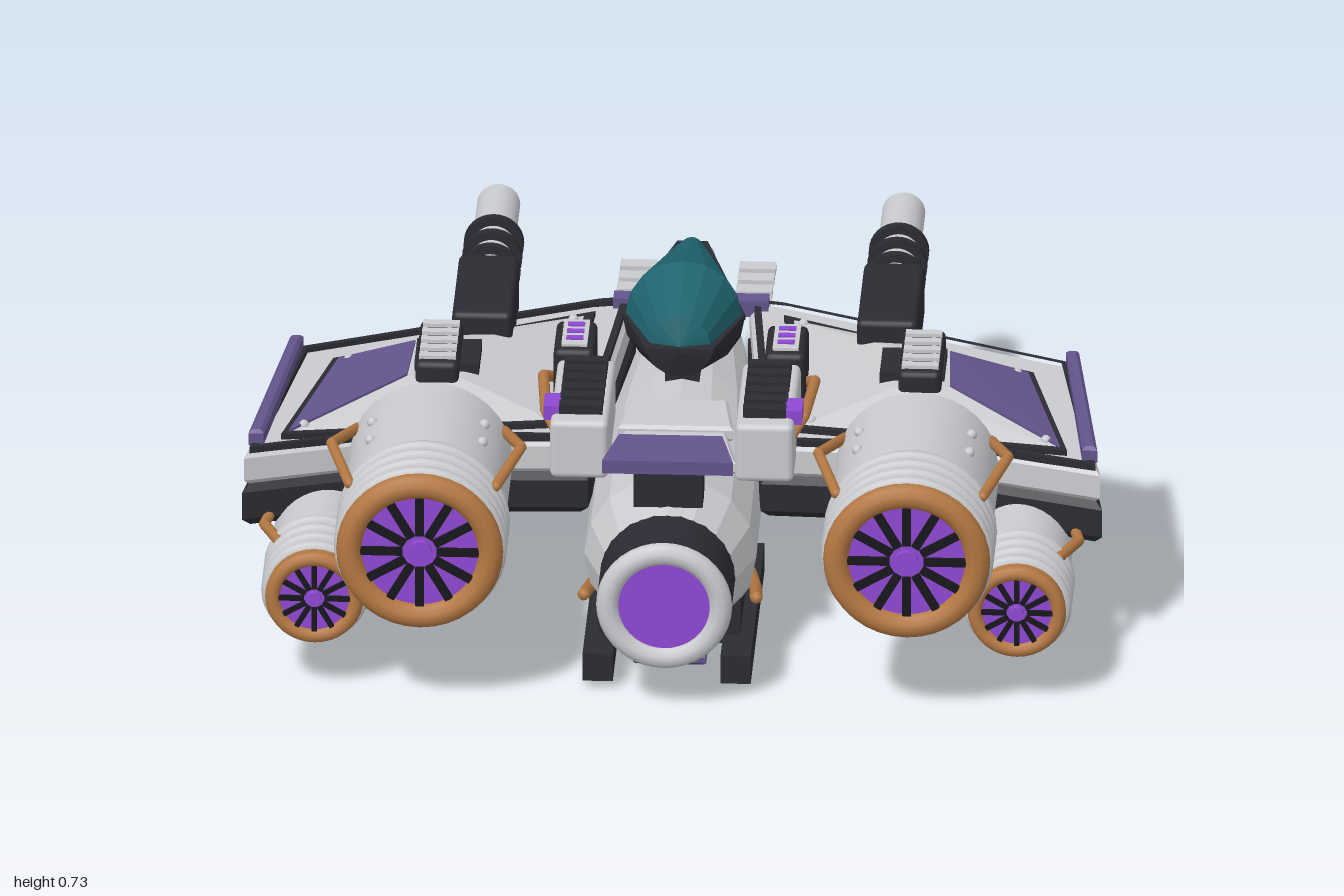
import * as THREE from 'three';
import { ConvexGeometry } from 'three/addons/geometries/ConvexGeometry.js';
import { RoundedBoxGeometry } from 'three/addons/geometries/RoundedBoxGeometry.js';

const paint = (name, color) => Object.assign(new THREE.MeshStandardMaterial({ color }), { name });
const HULL = paint('hull grey', 0xc9cbce);
const DARK = paint('dark trim', 0x2b2b33);
const PURPLE = paint('purple panel', 0x63548c);
const GLOW = paint('glowing purple', 0x8f48d2);
const COPPER = paint('copper', 0xb47843);
const TEAL = paint('teal glass', 0x1f636d);
const SLATE = paint('slate underside', 0x3a4953);
const BLACK = paint('black blades', 0x17171c);

const V = (x, y, z) => new THREE.Vector3(x, y, z);

function flat(geo) {
  const g = geo.index ? geo.toNonIndexed() : geo;
  g.computeVertexNormals();
  return g;
}

// Lathe round the z axis from [z, radius] pairs
function spindle(profile, segments, start = 0, sweep = Math.PI * 2) {
  const pts = profile.map(([z, r]) => new THREE.Vector2(r, z));
  return new THREE.LatheGeometry(pts, segments, start, sweep).rotateX(Math.PI / 2);
}

// Slab from [x, z] corners, rising from y0 to y1, with an optional hole
function slab(pts, y0, y1, bevel = 0, hole = null) {
  const shape = new THREE.Shape(pts.map(([x, z]) => new THREE.Vector2(x, -z)));
  if (hole) shape.holes.push(new THREE.Path(hole.map(([x, z]) => new THREE.Vector2(x, -z))));
  const geo = new THREE.ExtrudeGeometry(shape, {
    depth: y1 - y0 - 2 * bevel, bevelEnabled: bevel > 0, bevelThickness: bevel,
    bevelSize: bevel, bevelOffset: -bevel, bevelSegments: 1,
  });
  return geo.rotateX(-Math.PI / 2).translate(0, y0 + bevel, 0);
}

const shrink = (pts, k) => {
  const cx = pts.reduce((a, p) => a + p[0], 0) / pts.length;
  const cz = pts.reduce((a, p) => a + p[1], 0) / pts.length;
  return pts.map(([x, z]) => [cx + (x - cx) * k, cz + (z - cz) * k]);
};

export function createModel() {
  const model = new THREE.Group();
  model.name = 'starfighter';

  const add = (name, geo, mat, x = 0, y = 0, z = 0) => {
    const m = new THREE.Mesh(geo, mat);
    m.name = name;
    m.position.set(x, y, z);
    model.add(m);
    return m;
  };
  const box = (name, mat, w, h, d, x, y, z) => add(name, new THREE.BoxGeometry(w, h, d), mat, x, y, z);
  const rounded = (name, mat, w, h, d, x, y, z) =>
    add(name, new RoundedBoxGeometry(w, h, d, 2, 0.015), mat, x, y, z);
  const cyl = (name, mat, r, z0, z1, x, y, r2 = r) =>
    add(name, new THREE.CylinderGeometry(r2, r, z1 - z0, 32).rotateX(Math.PI / 2), mat, x, y, (z0 + z1) / 2);
  const ring = (name, mat, R, t, x, y, z) => add(name, new THREE.TorusGeometry(R, t, 10, 36), mat, x, y, z);
  const pipe = (name, pts, r = 0.013) => {
    const path = new THREE.CurvePath();
    for (let i = 1; i < pts.length; i++) path.add(new THREE.LineCurve3(pts[i - 1], pts[i]));
    add(name, new THREE.TubeGeometry(path, 24, r, 8), COPPER);
    for (const p of pts) add(name + 'Joint', new THREE.SphereGeometry(r, 8, 6), COPPER, p.x, p.y, p.z);
  };

  // Fuselage, dropping slightly toward the tail
  const hull = spindle([[-0.99, 0], [-0.99, 0.022], [-0.38, 0.13], [0, 0.175], [0.3, 0.198], [0.62, 0.2], [0.75, 0.158]], 16);
  const hp = hull.attributes.position;
  for (let i = 0; i < hp.count; i++) hp.setY(i, hp.getY(i) + 0.31 - 0.04 * THREE.MathUtils.clamp((hp.getZ(i) + 0.4) / 0.9, 0, 1));
  add('fuselage', flat(hull), HULL);

  // Tail thruster
  cyl('tailCollar', DARK, 0.157, 0.74, 0.9, 0, 0.27);
  ring('tailRing', HULL, 0.131, 0.027, 0, 0.27, 0.905);
  cyl('tailGlow', GLOW, 0.108, 0.89, 0.912, 0, 0.27);

  // Spine panels and raised tail panel
  const trapezoid = (a, b, z0, z1) => [[-a, z0], [a, z0], [b, z1], [-b, z1]];
  add('spinePanelFront', slab(trapezoid(0.115, 0.135, 0.22, 0.38), 0.45, 0.487, 0.008), HULL);
  add('spinePanelRear', slab(trapezoid(0.12, 0.15, 0.4, 0.565), 0.45, 0.487, 0.008), HULL);
  add('tailPanel', slab(trapezoid(0.12, 0.152, 0.6, 0.75), 0.532, 0.565), PURPLE);
  box('tailPanelMount', DARK, 0.16, 0.1, 0.1, 0, 0.485, 0.67);

  // Cockpit: glass above, dark tub below
  const glass = [[-0.38, 0.025], [-0.3, 0.05], [0, 0.135], [0.17, 0.07], [0.19, 0]];
  const tub = [[-0.41, 0], [-0.41, 0.035], [-0.3, 0.058], [0, 0.143], [0.18, 0.078], [0.2, 0]];
  add('canopy', flat(spindle(glass, 8, Math.PI / 2, Math.PI)), TEAL, 0, 0.602, 0);
  add('cockpitTub', flat(spindle(tub, 8, -Math.PI / 2, Math.PI)), DARK, 0, 0.602, 0);
  add('cockpitSill', slab([[-0.143, 0], [-0.035, -0.41], [0.035, -0.41], [0.143, 0], [0.078, 0.2], [-0.078, 0.2]], 0.592, 0.604), DARK);
  box('cockpitNeck', DARK, 0.08, 0.18, 0.4, 0, 0.49, -0.13);

  // Belly keel and pylons
  add('keel', slab([[-0.02, -0.68], [0.02, -0.68], [0.085, -0.3], [0.085, 0.65], [-0.085, 0.65], [-0.085, -0.3]], 0.003, 0.028, 0.006), PURPLE);
  box('keelPylonFront', DARK, 0.09, 0.15, 0.1, 0, 0.095, -0.1);
  box('keelPylonRear', DARK, 0.09, 0.09, 0.4, 0, 0.065, 0.4);

  // Engine with ribbed nozzle and fan; k scales lengths of the nozzle
  const engine = (name, x, y, r, z0, zMid, z1, rings) => {
    cyl(name + 'Body', HULL, r * 0.95, z0, zMid, x, y);
    cyl(name + 'Core', DARK, r * 0.86, zMid - 0.01, z1 - 0.03, x, y);
    for (let i = 0; i < rings; i++) {
      const z = zMid + 0.03 + (i * (z1 - zMid - 0.085)) / (rings - 1);
      ring(name + 'Rib', HULL, r * 0.92, 0.017, x, y, z);
    }
    const t = r * 0.15;
    ring(name + 'Lip', COPPER, r * 0.82, t, x, y, z1 - t);
    cyl(name + 'LipBand', COPPER, r * 0.95, z1 - t - 0.028, z1 - t, x, y);
    cyl(name + 'FanGlow', GLOW, r * 0.72, z1 - t, z1 - t + 0.004, x, y);
    cyl(name + 'Hub', GLOW, r * 0.14, z1 - t, z1 - t + 0.018, x, y);
    for (let i = 0; i < 12; i++) {
      const a = (i * Math.PI) / 6;
      const blade = new THREE.BoxGeometry(r * 0.5, r * (rings > 3 ? 0.1 : 0.17), 0.012).translate(r * 0.45, 0, 0).rotateZ(a);
      add(name + 'Blade', blade, BLACK, x, y, z1 - t + 0.006);
    }
  };

  for (const s of [1, -1]) {
    const mir = pts => pts.map(([x, z]) => [s * x, z]);

    // Wing: dark lower slab, pale upper slab and inlaid trim lines
    const plan = mir([[0.13, -0.385], [0.2, -0.37], [0.905, -0.055], [0.998, 0.54], [0.73, 0.45], [0.2, 0.43]]);
    add('wingLower', slab(plan, 0.28, 0.388, 0.02), DARK);
    add('wingUpper', slab(shrink(plan, 0.99), 0.385, 0.465, 0.012), HULL);
    add('wingTrim', slab(shrink(plan, 0.965), 0.46, 0.478, 0, shrink(plan, 0.92)), DARK);

    // Raised wing panel with a purple outer face, echoed in slate underneath
    const base = mir([[0.235, -0.26], [0.8, 0.02], [0.895, 0.435], [0.285, 0.34]]);
    const top = mir([[0.5, 0.02], [0.62, 0.04], [0.63, 0.23], [0.5, 0.24]]);
    const at = ([x, z], y) => V(x, y, z);
    add('wingPanelBorder', slab(shrink(base, 1.05), 0.462, 0.479), DARK);
    add('wingPanel', new ConvexGeometry([...base.map(p => at(p, 0.477)), ...top.map(p => at(p, 0.535))]), HULL);
    const face = [at(base[1], 0.477), at(base[2], 0.477), at(top[2], 0.535), at(top[1], 0.535)];
    add('wingPanelStripe', new ConvexGeometry([...face, ...face.map(p => V(p.x, p.y + 0.006, p.z))]), PURPLE);
    add('wingUnderside', new ConvexGeometry([...base.map(p => at(p, 0.282)), ...top.map(p => at(p, 0.25))]), SLATE);
    base.forEach((p, i) => {
      const strut = new THREE.LineCurve3(at(p, 0.28), at(top[i], 0.248));
      add('undersideStrut', new THREE.TubeGeometry(strut, 1, 0.008, 6), HULL);
      const [rx, rz] = shrink(base, 0.9)[i];
      add('wingRivet', new THREE.SphereGeometry(0.012, 10, 6), HULL, rx, 0.484, rz);
    });

    // Wingtip rail
    add('wingtipRail', slab(mir([[0.885, -0.05], [0.915, -0.05], [0.985, 0.5], [0.95, 0.5]]), 0.465, 0.51, 0.008), PURPLE);

    // Wing vent
    rounded('ventBox', DARK, 0.1, 0.08, 0.25, s * 0.56, 0.54, 0.13);
    box('ventBase', DARK, 0.15, 0.04, 0.14, s * 0.54, 0.535, 0.13);
    for (let i = 0; i < 5; i++) box('ventSlat', HULL, 0.085, 0.012, 0.025, s * 0.56, 0.582, 0.04 + i * 0.045);

    // Underwing pod
    box('underwingPod', PURPLE, 0.11, 0.055, 0.28, s * 0.56, 0.19, 0.135);
    box('underwingMount', DARK, 0.06, 0.05, 0.14, s * 0.56, 0.235, 0.135);
    cyl('underwingLamp', HULL, 0.038, 0.09, 0.19, s * 0.56, 0.15);

    // Cannon
    rounded('cannonHousing', DARK, 0.14, 0.14, 0.34, s * 0.47, 0.505, -0.21);
    cyl('cannonBarrel', HULL, 0.05, -0.815, -0.36, s * 0.47, 0.505);
    for (const z of [-0.43, -0.51, -0.59]) cyl('cannonBand', DARK, 0.07, z - 0.011, z + 0.011, s * 0.47, 0.505);
    cyl('cannonTip', GLOW, 0.035, -0.835, -0.81, s * 0.47, 0.505);

    // Nose vanes
    for (let i = 0; i < 4; i++) box('noseVane', HULL, 0.085, 0.016, 0.042, s * 0.138, 0.415 + i * 0.008, -0.68 + i * 0.082);
    box('noseVaneRoot', PURPLE, 0.08, 0.04, 0.045, s * 0.14, 0.47, -0.35);

    // Ribbed shoulder rail and light pod
    rounded('shoulderRail', HULL, 0.135, 0.145, 0.36, s * 0.215, 0.502, 0.38);
    for (let i = 0; i < 6; i++) box('railRib', DARK, 0.1, 0.03, 0.03, s * 0.213, 0.583, 0.25 + i * 0.05);
    box('railLamp', GLOW, 0.04, 0.035, 0.075, s * 0.28, 0.575, 0.475);
    rounded('lightPod', DARK, 0.095, 0.13, 0.175, s * 0.245, 0.53, 0.115);
    box('lightPodFace', HULL, 0.06, 0.008, 0.14, s * 0.245, 0.597, 0.11);
    for (let i = 0; i < 3; i++) box('podLight', GLOW, 0.04, 0.006, 0.018, s * 0.245, 0.602, 0.07 + i * 0.038);
    pipe('shoulderPipe', [V(s * 0.29, 0.5, 0.14), V(s * 0.315, 0.53, 0.2), V(s * 0.3, 0.53, 0.4), V(s * 0.27, 0.5, 0.46)]);

    // Engines with bypass pipes and rivets
    const ex = s * 0.565;
    engine('mainEngine', ex, 0.415, 0.2, 0.42, 0.745, 0.975, 4);
    engine('outerEngine', s * 0.815, 0.24, 0.118, 0.31, 0.62, 0.85, 4);
    for (const d of [1, -1]) {
      pipe('mainEnginePipe', [V(ex + d * 0.17, 0.49, 0.43), V(ex + d * 0.22, 0.545, 0.64), V(ex + d * 0.17, 0.525, 0.82)]);
      for (const z of [0.54, 0.64]) add('engineRivet', new THREE.SphereGeometry(0.013, 10, 6), HULL, ex + d * 0.13, 0.555, z);
    }
    pipe('outerEnginePipe', [V(s * 0.93, 0.3, 0.48), V(s * 0.945, 0.3, 0.56), V(s * 0.9, 0.31, 0.69)]);

    // Belly skid, feed pipe and small fins
    box('bellySkid', DARK, 0.07, 0.07, 0.64, s * 0.16, 0.057, 0.47);
    box('bellySkidMount', DARK, 0.05, 0.1, 0.3, s * 0.14, 0.12, 0.52);
    pipe('bellyPipe', [V(s * 0.2, 0.17, 0.63), V(s * 0.19, 0.12, 0.46), V(s * 0.16, 0.06, 0.2), V(s * 0.12, 0.1, -0.32)], 0.015);
    for (let i = 0; i < 3; i++) box('bellyFin', HULL, 0.07, 0.014, 0.04, s * 0.09, 0.042, -0.16 + i * 0.075);
  }
  return model;
}
